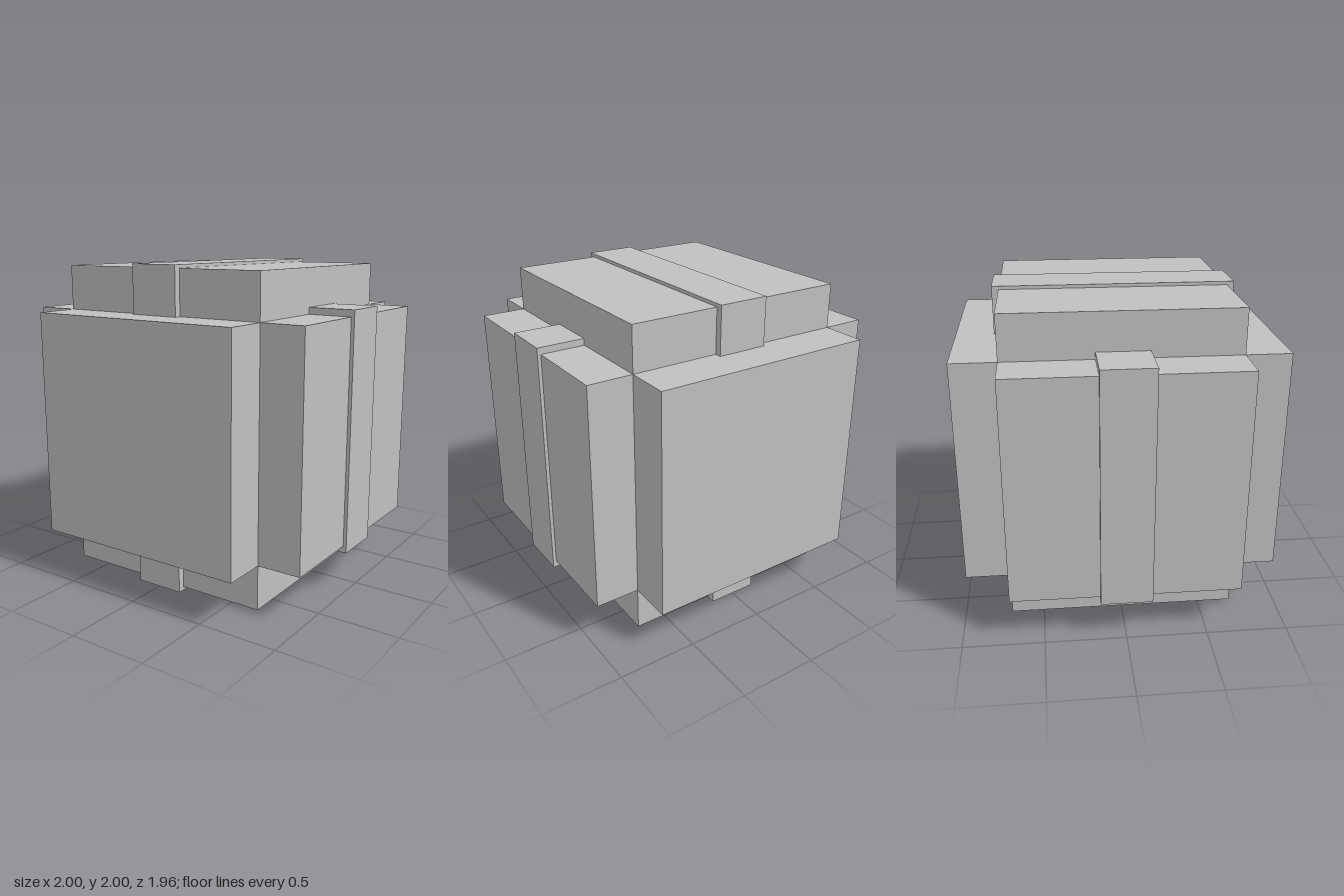
import * as THREE from 'three';

export function createModel() {
  const group = new THREE.Group();
  const grey = new THREE.MeshStandardMaterial({ color: 0xc0c0c0 });
  grey.name = 'light grey';

  const CORE = 1.406;  // width of the square slabs
  const REACH = 1.958; // distance between opposite slab faces
  const STRAP = 0.316; // strap width
  const LONG = 1.49;   // strap length

  const addBox = (name, w, h, d) => {
    const mesh = new THREE.Mesh(new THREE.BoxGeometry(w, h, d), grey);
    mesh.name = name;
    mesh.position.y = 1;
    group.add(mesh);
  };

  // three crossing blocks, one along each axis
  addBox('sideToSideBlock', REACH, CORE, CORE);
  addBox('uprightBlock', CORE, REACH, CORE);
  addBox('frontToBackBlock', CORE, CORE, REACH);

  // raised straps on the top and bottom, and on both sides
  addBox('topAndBottomStrap', STRAP, 2, LONG);
  addBox('sideStrap', 2, LONG, STRAP);

  return group;
}
